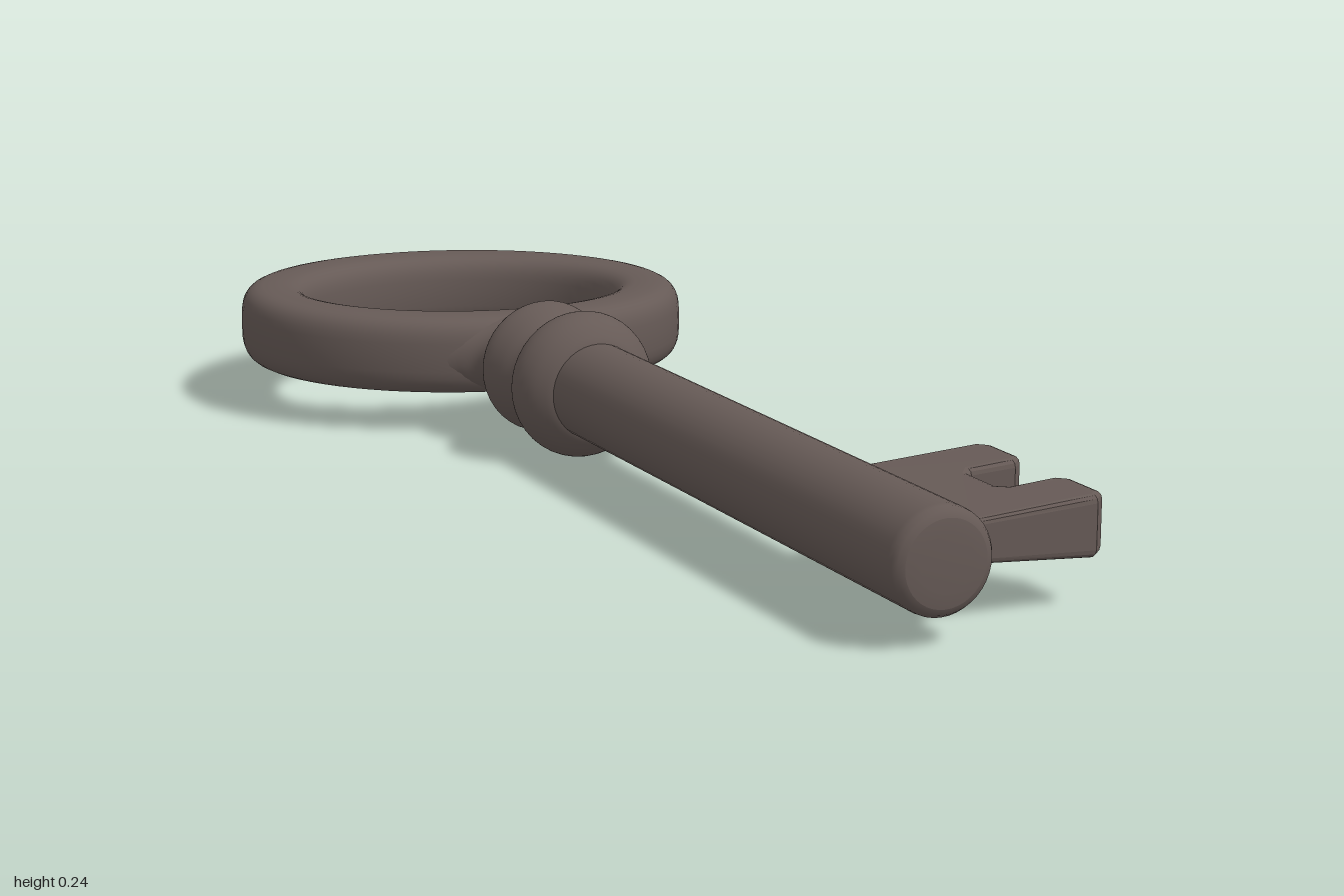
import * as THREE from 'three';
import { ParametricGeometry } from 'three/addons/geometries/ParametricGeometry.js';

const AXIS_X = -0.014, AXIS_Y = 0.118;

// Turned part along z from [radius, z] points
function turned(points, smooth) {
  let pts = points.map(([r, z]) => new THREE.Vector2(r, z));
  if (smooth) pts = new THREE.SplineCurve(pts).getPoints(60);
  return new THREE.LatheGeometry(pts, 40).rotateX(Math.PI / 2);
}

// Oval ring with a rounded-rectangle section, tilted slightly to one side
function ringGeometry() {
  const soft = (t) => Math.sign(t) * Math.pow(Math.abs(t), 0.62);
  return new ParametricGeometry((u, v, p) => {
    const a = -u * Math.PI * 2, b = v * Math.PI * 2;
    const w = 0.0575 * soft(Math.cos(b));
    const x = (0.3275 + w) * Math.cos(a);
    p.set(x, 0.123 - 0.022 * x + 0.065 * soft(Math.sin(b)), -0.67 + (0.2725 + w) * Math.sin(a));
  }, 72, 32);
}

// Notched bit, thicker toward its outer edge
function bitGeometry() {
  const c = 0.012;
  const s = new THREE.Shape();
  [[0.02, 0.61], [0.262, 0.61], [0.274, 0.622], [0.274, 0.688], [0.262, 0.7],
    [0.19, 0.7], [0.172, 0.722], [0.172, 0.8], [0.19, 0.82],
    [0.262, 0.82], [0.274, 0.832], [0.274, 0.9], [0.262, 0.912], [0.075, 0.91], [0.05, 0.935], [0.02, 0.935]]
    .forEach(([x, z], i) => (i ? s.lineTo(x, z) : s.moveTo(x, z)));
  const g = new THREE.ExtrudeGeometry(s, {
    depth: 0.066, bevelEnabled: true, bevelThickness: c, bevelSize: 0.01, bevelSegments: 3,
  });
  g.rotateX(Math.PI / 2).translate(0, 0.033, 0);
  const p = g.attributes.position;
  for (let i = 0; i < p.count; i++) {
    const t = THREE.MathUtils.clamp((p.getX(i) - 0.05) / 0.21, 0, 1);
    p.setY(i, 0.116 + p.getY(i) * (0.66 + 0.34 * t));
  }
  g.computeVertexNormals();
  return g;
}

export function createModel() {
  const key = new THREE.Group();
  key.name = 'key';
  const iron = new THREE.MeshStandardMaterial({ color: 0x665a56 });
  iron.name = 'dark iron';
  const add = (name, geometry, x = 0, y = 0) => {
    const mesh = new THREE.Mesh(geometry, iron);
    mesh.name = name;
    mesh.position.set(x, y, 0);
    key.add(mesh);
  };

  add('bow', ringGeometry());

  // Flare joining the collar to the bow, flattened to the bow's thickness
  const flare = turned([[0.17, -0.405], [0.17, -0.385], [0.125, -0.36], [0.098, -0.34], [0.088, -0.31], [0.085, -0.28]], true);
  const fp = flare.attributes.position;
  for (let i = 0; i < fp.count; i++) {
    const r = Math.hypot(fp.getX(i), fp.getY(i));
    fp.setY(i, fp.getY(i) * Math.min(1, 0.064 / r));
  }
  flare.computeVertexNormals();
  add('bowNeck', flare, AXIS_X, 0.124);

  // Double-beaded collar
  add('collar', turned([[0.03, -0.36], [0.066, -0.345], [0.09, -0.325], [0.105, -0.3], [0.107, -0.28], [0.096, -0.25],
    [0.083, -0.225], [0.084, -0.208], [0.1, -0.185], [0.115, -0.16], [0.117, -0.135], [0.106, -0.108],
    [0.086, -0.088], [0.07, -0.08]], true), AXIS_X, AXIS_Y);

  // Shaft with softened tip
  add('shaft', turned([[0.077, -0.12], [0.077, 0.975], [0.076, 0.985], [0.071, 0.993], [0.062, 0.997]]), AXIS_X, AXIS_Y);
  add('shaftTip', turned([[0.062, 0.997], [0.04, 1], [0, 1]]), AXIS_X, AXIS_Y);

  add('bit', bitGeometry());
  return key;
}
